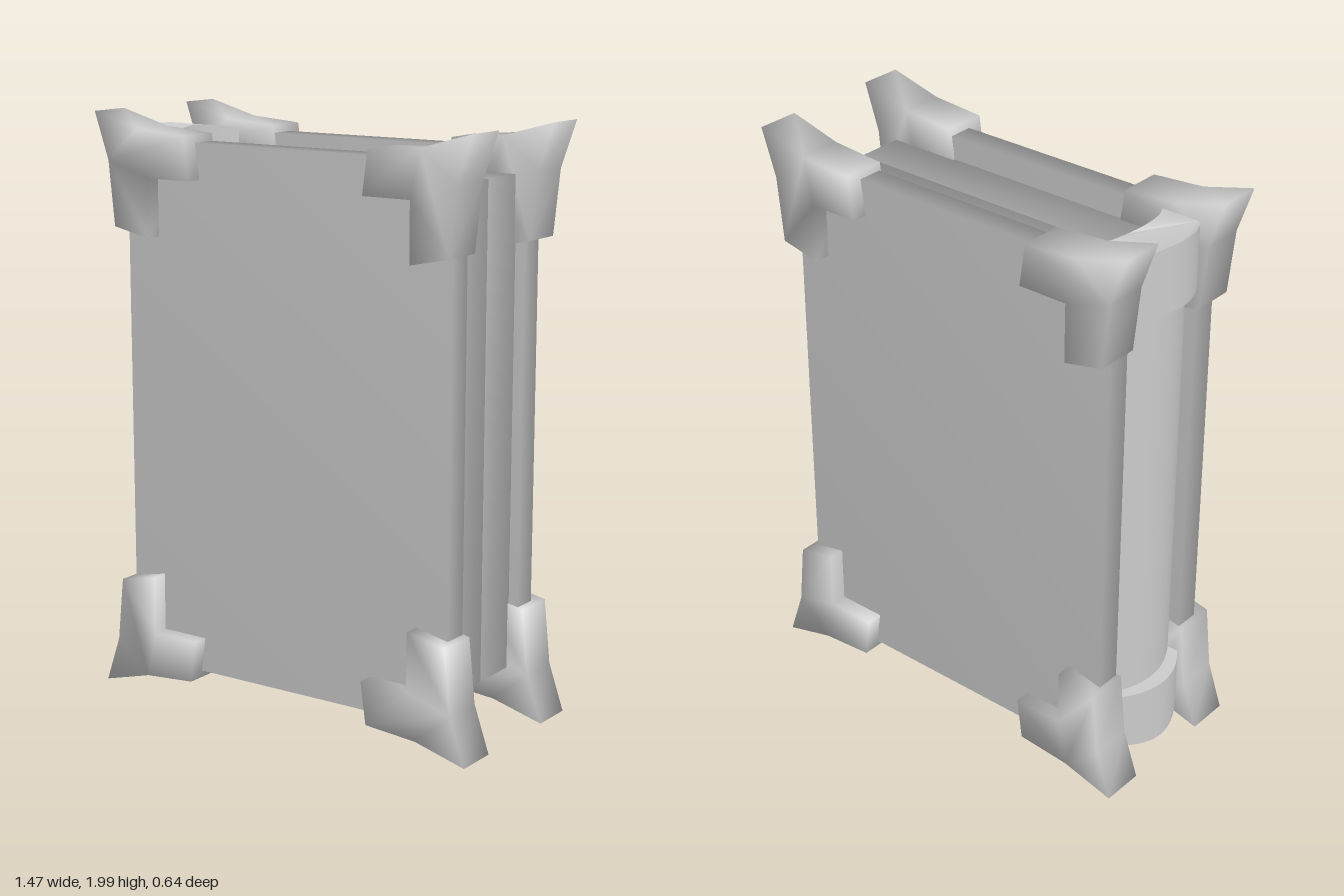
import * as THREE from 'three';
import { mergeVertices, toCreasedNormals } from 'three/addons/utils/BufferGeometryUtils.js';

const material = new THREE.MeshStandardMaterial({ color: 0xcccccc });
const MID = 1.005; // mid height of the book

// Share every corner so shading flows softly across the edges
function soften(geometry) {
  geometry.deleteAttribute('normal');
  geometry.deleteAttribute('uv');
  const merged = mergeVertices(geometry, 1e-4);
  merged.computeVertexNormals();
  return merged;
}

function add(parent, name, geometry) {
  const mesh = new THREE.Mesh(geometry, material);
  mesh.name = name;
  parent.add(mesh);
  return mesh;
}

// Soft box given by its limits on each axis
function softBox([x0, x1], [y0, y1], [z0, z1]) {
  const box = new THREE.BoxGeometry(x1 - x0, y1 - y0, z1 - z0);
  box.translate((x0 + x1) / 2, (y0 + y1) / 2, (z0 + z1) / 2);
  return soften(box);
}

// L-shaped corner guard with a flared tip; sx, sy pick the corner
const guardOutline = [
  [0.735, 0.995], [0.55, 0.945], [0.36, 0.93], [0.34, 0.785],
  [0.515, 0.785], [0.515, 0.585], [0.657, 0.615], [0.68, 0.835],
];
function cornerGuard(sx, sy, z0) {
  const shape = new THREE.Shape(
    guardOutline.map(([x, y]) => new THREE.Vector2(sx * x, MID + sy * y)));
  const geometry = new THREE.ExtrudeGeometry(shape, { depth: 0.15, bevelEnabled: false });
  geometry.translate(0, 0, z0);
  return soften(geometry);
}

// Upright crescent: outer and inner curves are given by x at the ends and middle
function crescent(outEnd, outMid, inEnd, inMid, y0, y1) {
  const w = 0.175;
  const shape = new THREE.Shape();
  shape.moveTo(outEnd, w);
  shape.quadraticCurveTo(2 * outMid - outEnd, 0, outEnd, -w);
  shape.lineTo(inEnd, -w);
  shape.quadraticCurveTo(2 * inMid - inEnd, 0, inEnd, w);
  const geometry = new THREE.ExtrudeGeometry(shape, {
    depth: y1 - y0, bevelEnabled: false, curveSegments: 14,
  });
  geometry.rotateX(Math.PI / 2).translate(0, y1, 0);
  return geometry;
}

export function createModel() {
  const book = new THREE.Group();
  book.name = 'book';

  // Page block in two halves
  const pages = new THREE.Group();
  pages.name = 'pages';
  book.add(pages);
  add(pages, 'frontPages', softBox([-0.58, 0.6], [0.18, 1.83], [0, 0.18]));
  add(pages, 'backPages', softBox([-0.58, 0.6], [0.18, 1.83], [-0.18, 0]));

  // Rounded spine
  add(book, 'spine', toCreasedNormals(
    crescent(-0.6, -0.66, -0.5, -0.56, 0.15, 1.86), 0.6));

  // Thicker caps at both ends of the spine, slightly domed on the outside
  for (const side of [1, -1]) {
    const a = MID + side * 0.71, b = MID + side * 0.91;
    const cap = crescent(-0.64, -0.71, -0.5, -0.56, Math.min(a, b), Math.max(a, b));
    const p = cap.attributes.position;
    for (let i = 0; i < p.count; i++) {
      if (Math.abs(p.getY(i) - MID) > 0.8) {
        p.setY(i, p.getY(i) + side * 0.025 * (1 - (p.getZ(i) / 0.175) ** 2));
      }
    }
    add(book, side > 0 ? 'topSpineCap' : 'bottomSpineCap', toCreasedNormals(cap, 0.6));
  }

  // Covers, each with four corner guards
  for (const face of [1, -1]) {
    const cover = new THREE.Group();
    cover.name = face > 0 ? 'frontCover' : 'backCover';
    book.add(cover);
    const z = face > 0 ? [0.175, 0.262] : [-0.262, -0.175];
    add(cover, 'coverBoard', softBox([-0.642, 0.635], [0.1, 1.91], z));
    for (const sx of [1, -1]) {
      for (const sy of [1, -1]) {
        const name = (sy > 0 ? 'top' : 'bottom') + (sx > 0 ? 'Left' : 'Right') + 'CornerGuard';
        add(cover, name, cornerGuard(sx, sy, face > 0 ? 0.168 : -0.318));
      }
    }
  }
  return book;
}
